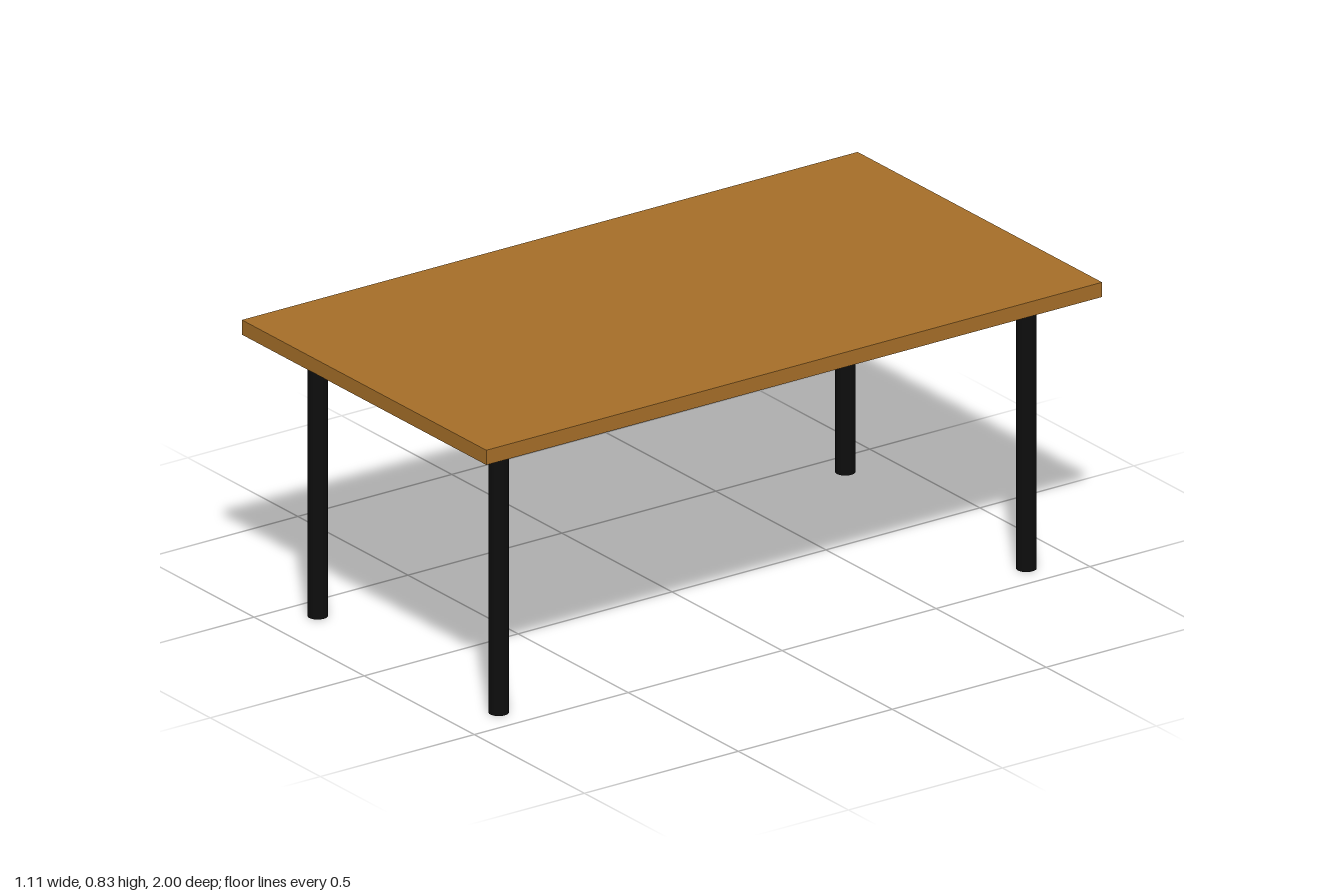
import * as THREE from 'three';

const TOP_Y = 0.831, UNDERSIDE = 0.789;
const LEG_X = 0.411, LEG_Z = 0.857;
const LEG_R = 0.0275, RAIL_R = 0.022;

export function createModel() {
  const group = new THREE.Group();
  const wood = new THREE.MeshStandardMaterial({ color: 0xa56e28 });
  const metal = new THREE.MeshStandardMaterial({ color: 0x0d0d0d });

  const add = (name, geometry, material, x, y, z) => {
    const mesh = new THREE.Mesh(geometry, material);
    mesh.name = name;
    mesh.position.set(x, y, z);
    group.add(mesh);
    return mesh;
  };

  // Flat rectangular board
  const thickness = TOP_Y - UNDERSIDE;
  add('tabletop', new THREE.BoxGeometry(1.11, thickness, 2), wood, 0, UNDERSIDE + thickness / 2, 0);

  // Four round legs
  const legGeometry = new THREE.CylinderGeometry(LEG_R, LEG_R, UNDERSIDE, 32);
  for (const [xName, sx] of [['Left', 1], ['Right', -1]]) {
    for (const [zName, sz] of [['front', 1], ['back', -1]]) {
      add(`${zName}${xName}Leg`, legGeometry, metal, sx * LEG_X, UNDERSIDE / 2, sz * LEG_Z);
    }
  }

  // Round rails joining the legs just beneath the board
  const railY = UNDERSIDE - RAIL_R;
  const endRail = new THREE.CylinderGeometry(RAIL_R, RAIL_R, 2 * LEG_X, 32).rotateZ(Math.PI / 2);
  const sideRail = new THREE.CylinderGeometry(RAIL_R, RAIL_R, 2 * LEG_Z, 32).rotateX(Math.PI / 2);
  for (const s of [1, -1]) {
    add(s > 0 ? 'frontRail' : 'backRail', endRail, metal, 0, railY, s * LEG_Z);
    add(s > 0 ? 'leftRail' : 'rightRail', sideRail, metal, s * LEG_X, railY, 0);
  }

  return group;
}
